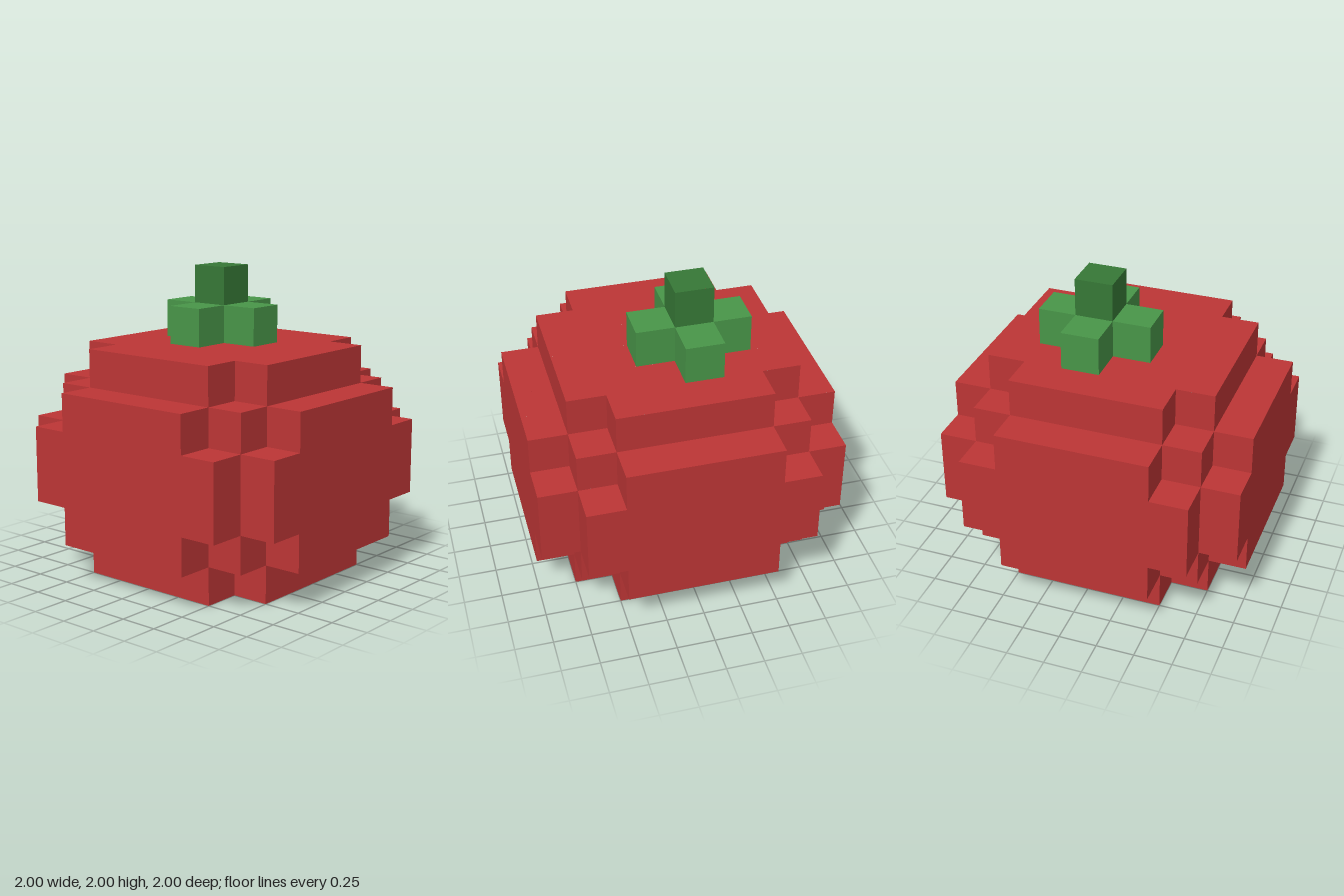
import * as THREE from 'three';
import { mergeGeometries } from 'three/addons/utils/BufferGeometryUtils.js';

const CELL = 0.25;

// Rounded body, 8 x 6 x 8 cells: edges and corners are stepped away by
// summing each cell's depth below the outer faces (capped at 2).
function inBody(x, y, z) {
  const depths = [Math.min(x + 4, 3 - x), Math.min(y, 5 - y), Math.min(z + 4, 3 - z)];
  if (depths.some((d) => d < 0)) return false;
  return depths.reduce((sum, d) => sum + Math.min(d, 2), 0) >= 3;
}

// Cross of leaves on top, with its middle at cell (-1, 6, -1)
const inLeaves = (x, y, z) => y === 6 && Math.abs(x + 1) + Math.abs(z + 1) <= 1;

// Single block of stem above the leaves
const inStem = (x, y, z) => y === 7 && x === -1 && z === -1;

const filled = (x, y, z) => inBody(x, y, z) || inLeaves(x, y, z) || inStem(x, y, z);

const DIRECTIONS = [
  [1, 0, 0], [-1, 0, 0], [0, 1, 0], [0, -1, 0], [0, 0, 1], [0, 0, -1],
].map((d) => new THREE.Vector3(...d));

// Outer skin of a part: one square for each cell side that is exposed
function makePart(name, inside, material) {
  const faces = [];
  for (let x = -4; x < 4; x++) {
    for (let y = 0; y < 8; y++) {
      for (let z = -4; z < 4; z++) {
        if (!inside(x, y, z)) continue;
        for (const d of DIRECTIONS) {
          if (filled(x + d.x, y + d.y, z + d.z)) continue;
          const face = new THREE.PlaneGeometry(CELL, CELL);
          face.lookAt(d);
          face.translate(
            (x + 0.5 + d.x / 2) * CELL,
            (y + 0.5 + d.y / 2) * CELL,
            (z + 0.5 + d.z / 2) * CELL,
          );
          faces.push(face);
        }
      }
    }
  }
  const mesh = new THREE.Mesh(mergeGeometries(faces), material);
  mesh.name = name;
  return mesh;
}

function makeMaterial(name, color) {
  const material = new THREE.MeshStandardMaterial({ color });
  material.name = name;
  return material;
}

export function createModel() {
  const model = new THREE.Group();
  model.name = 'blockTomato';
  model.add(
    makePart('body', inBody, makeMaterial('red', 0xbc3535)),
    makePart('leaves', inLeaves, makeMaterial('leafGreen', 0x489548)),
    makePart('stem', inStem, makeMaterial('darkGreen', 0x367836)),
  );
  return model;
}
